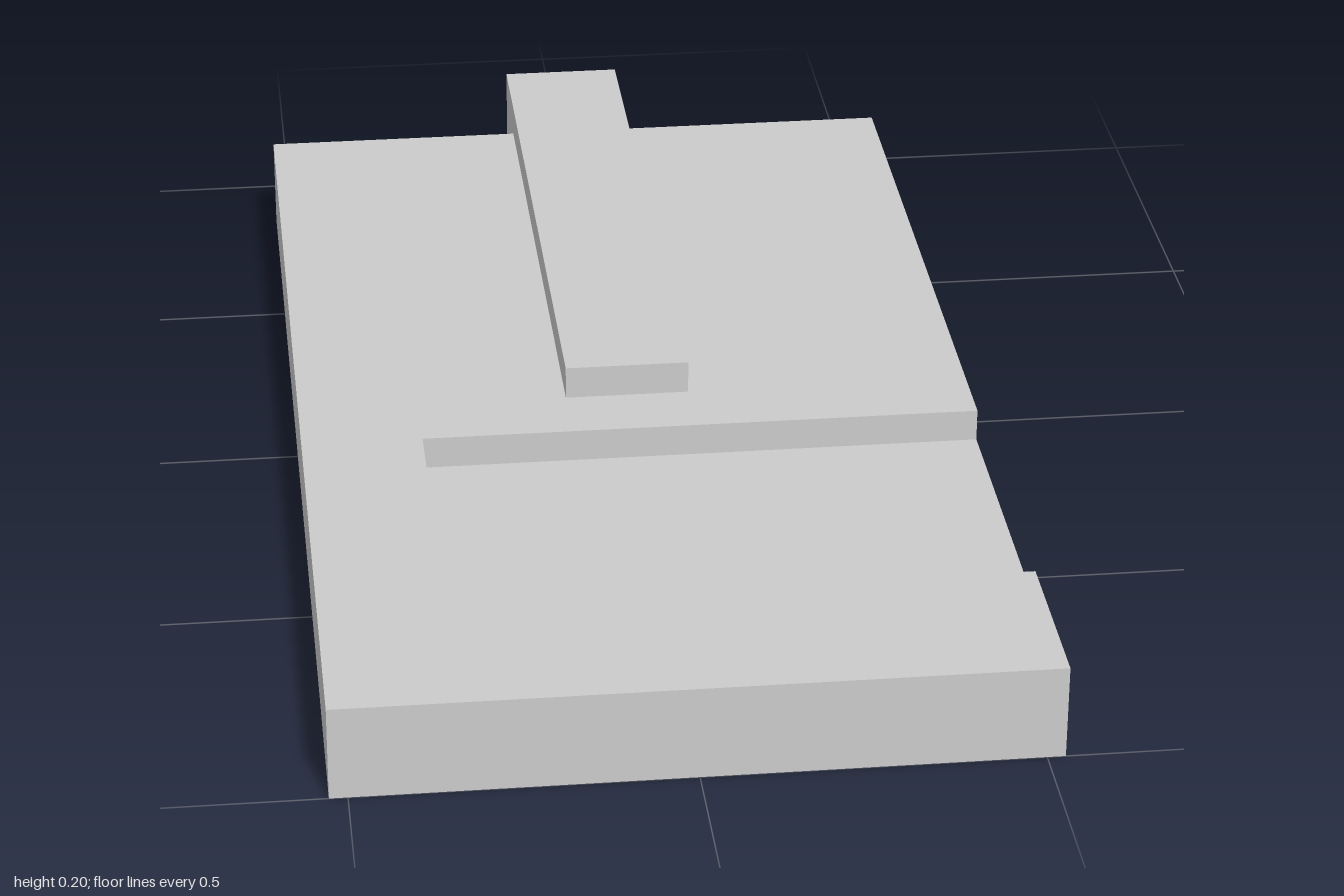
import * as THREE from 'three';

const X = 0.527, BACK = -0.862, FRONT = 1, H = 0.147;
const NOTCH_X = -0.34, NOTCH_BACK = 0.23, NOTCH_FRONT = 0.727;

const material = new THREE.MeshStandardMaterial({
  color: 0xcccccc, flatShading: true, side: THREE.DoubleSide,
});

function add(group, name, geometry, x = 0, y = 0, z = 0) {
  const mesh = new THREE.Mesh(geometry, material);
  mesh.name = name;
  mesh.position.set(x, y, z);
  group.add(mesh);
}

// Vertical sheet wall following an open path of [x, z] points
function wallStrip(path) {
  const positions = [], index = [];
  path.forEach(([x, z], i) => {
    positions.push(x, 0, z, x, H, z);
    if (i) {
      const a = 2 * i - 2;
      index.push(a, a + 2, a + 3, a, a + 3, a + 1);
    }
  });
  const geometry = new THREE.BufferGeometry();
  geometry.setAttribute('position', new THREE.Float32BufferAttribute(positions, 3));
  geometry.setIndex(index);
  const flat = geometry.toNonIndexed();
  flat.computeVertexNormals();
  return flat;
}

export function createModel() {
  const group = new THREE.Group();

  // Hollow slab: the left side (+x) is open
  const outer = [[X, BACK], [-X, BACK], [-X, FRONT], [X, FRONT]];
  const notch = [[X, NOTCH_FRONT], [NOTCH_X, NOTCH_FRONT], [NOTCH_X, NOTCH_BACK], [X, NOTCH_BACK]];
  add(group, 'outerWalls', wallStrip(outer));
  add(group, 'notchWalls', wallStrip(notch));

  // Top and bottom sheets share the notched outline
  const outline = new THREE.Shape([...outer, ...notch].map(([x, z]) => new THREE.Vector2(x, -z)));
  add(group, 'topSheet', new THREE.ShapeGeometry(outline).rotateX(-Math.PI / 2), 0, H);
  const under = new THREE.ShapeGeometry(outline).rotateX(-Math.PI / 2);
  under.index.array.reverse();
  under.attributes.normal.array.forEach((n, i, a) => { a[i] = -n; });
  add(group, 'bottomSheet', under);

  // Thin shelf across the notch, reaching a little way into the slab
  const shelfBack = 0.15, shelfFront = 0.735;
  add(group, 'shelf',
    new THREE.PlaneGeometry(X - NOTCH_X, shelfFront - shelfBack).rotateX(-Math.PI / 2),
    (X + NOTCH_X) / 2, 0.096, (shelfFront + shelfBack) / 2);

  // Bar running along the slab and out of its back
  add(group, 'bar', new THREE.BoxGeometry(0.193, 0.193, 1.12), -0.011, 0.1025, -0.44);

  return group;
}
